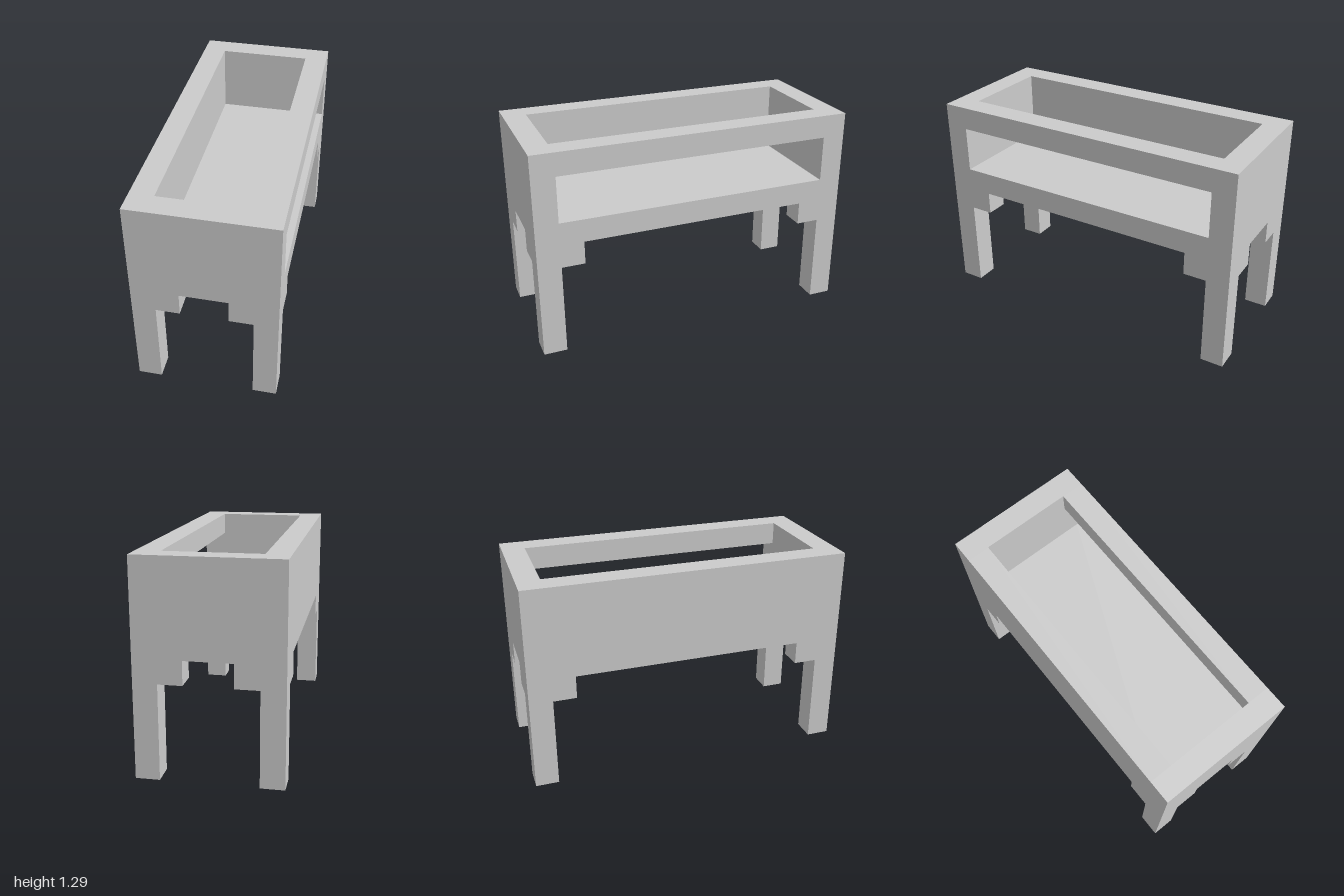
import * as THREE from 'three';

// Everything sits on a grid of 1/7 unit: 6 wide, 9 high, 14 long.
const U = 1 / 7;
const material = new THREE.MeshStandardMaterial({ color: 0xcccccc, flatShading: true });

// Box given by its lower and upper corners in grid units.
function block(name, [x0, y0, z0], [x1, y1, z1]) {
  const geometry = new THREE.BoxGeometry((x1 - x0) * U, (y1 - y0) * U, (z1 - z0) * U);
  const mesh = new THREE.Mesh(geometry, material);
  mesh.name = name;
  mesh.position.set((x0 + x1) / 2, (y0 + y1) / 2, (z0 + z1) / 2).multiplyScalar(U);
  return mesh;
}

export function createModel() {
  const model = new THREE.Group();
  model.name = 'raisedTrough';

  // Open-topped box: floor, two ends, a closed side and a side with a long window
  model.add(
    block('floor', [-3, 5, -7], [3, 6, 7]),
    block('frontWall', [-3, 6, 6], [3, 9, 7]),
    block('backWall', [-3, 6, -7], [3, 9, -6]),
    block('closedSideWall', [-3, 6, -6], [-2, 9, 6]),
    block('windowTopRail', [2, 8, -6], [3, 9, 6])
  );

  // Four corner legs, each with two stepped brackets under the floor
  for (const sx of [-1, 1]) {
    for (const sz of [-1, 1]) {
      const corner = new THREE.Group();
      corner.name = (sz > 0 ? 'front' : 'back') + (sx > 0 ? 'Left' : 'Right') + 'Leg';
      const cube = (name, x, z, y0) =>
        block(name, [sx * x - 0.5, y0, sz * z - 0.5], [sx * x + 0.5, 5, sz * z + 0.5]);
      corner.add(
        cube('post', 2.5, 6.5, 0),
        cube('endBracket', 1.5, 6.5, 4),
        cube('sideBracket', 2.5, 5.5, 4)
      );
      model.add(corner);
    }
  }
  return model;
}
